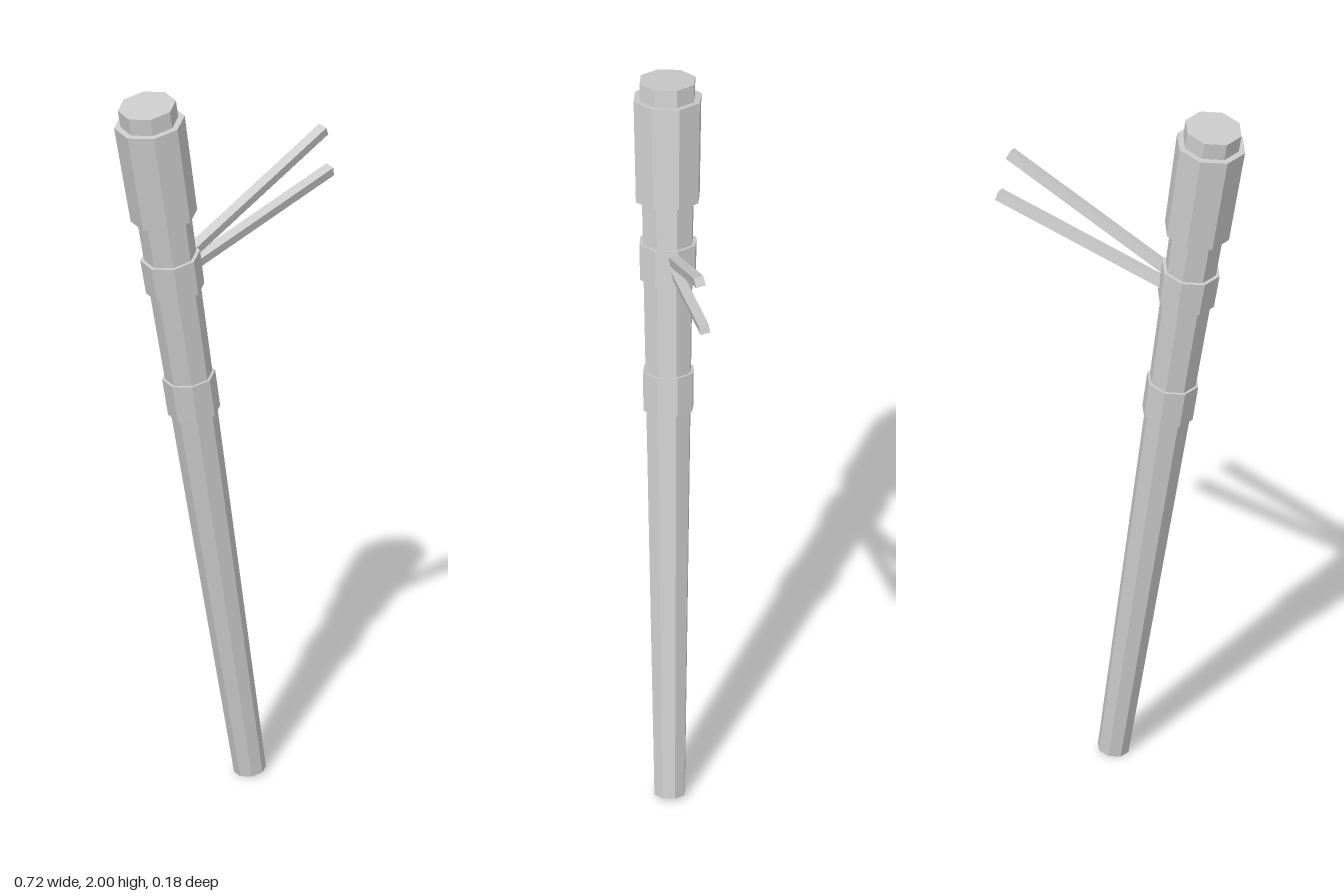
import * as THREE from 'three';

const mat = new THREE.MeshStandardMaterial({ color: 0xcccccc, flatShading: true });
const UP = new THREE.Vector3(0, 1, 0);

// Faceted, tapered rod between two points
function rod(name, a, b, rA, rB, sides, turn) {
  const dir = b.clone().sub(a);
  const geo = new THREE.CylinderGeometry(rB, rA, dir.length(), sides, 1, false, turn);
  const mesh = new THREE.Mesh(geo, mat);
  mesh.name = name;
  mesh.position.copy(a).add(b).multiplyScalar(0.5);
  mesh.quaternion.setFromUnitVectors(UP, dir.normalize());
  return mesh;
}

export function createModel() {
  const group = new THREE.Group();
  group.name = 'staff';

  // Leaning axis of the staff
  const base = new THREE.Vector3(0.038, 0.007, 0.043);
  const tip = new THREE.Vector3(-0.28, 1.988, 0.002);
  const length = base.distanceTo(tip);
  const at = (s) => base.clone().lerp(tip, s / length);
  const turn = THREE.MathUtils.degToRad(11);

  // Shaft and bands: name, start and end along the axis, radii
  const sections = [
    ['shaft', 0, length, 0.042, 0.077],
    ['lowerBand', 1.086, 1.193, 0.069, 0.07],
    ['middleBand', 1.455, 1.554, 0.077, 0.079],
    ['headCollar', 1.675, 1.958, 0.088, 0.0935],
  ];
  for (const [name, s0, s1, r0, r1] of sections) {
    group.add(rod(name, at(s0), at(s1), r0, r1, 8, turn));
  }

  // Two thin square prongs growing out of the middle band
  const prongs = [
    ['upperProng', [-0.19, 1.5, 0.006], [0.323, 1.741, 0.006]],
    ['lowerProng', [-0.19, 1.468, 0], [0.352, 1.614, -0.002]],
  ];
  for (const [name, a, b] of prongs) {
    group.add(rod(name, new THREE.Vector3(...a), new THREE.Vector3(...b), 0.0185, 0.0185, 4, Math.PI / 4 + turn));
  }

  return group;
}
